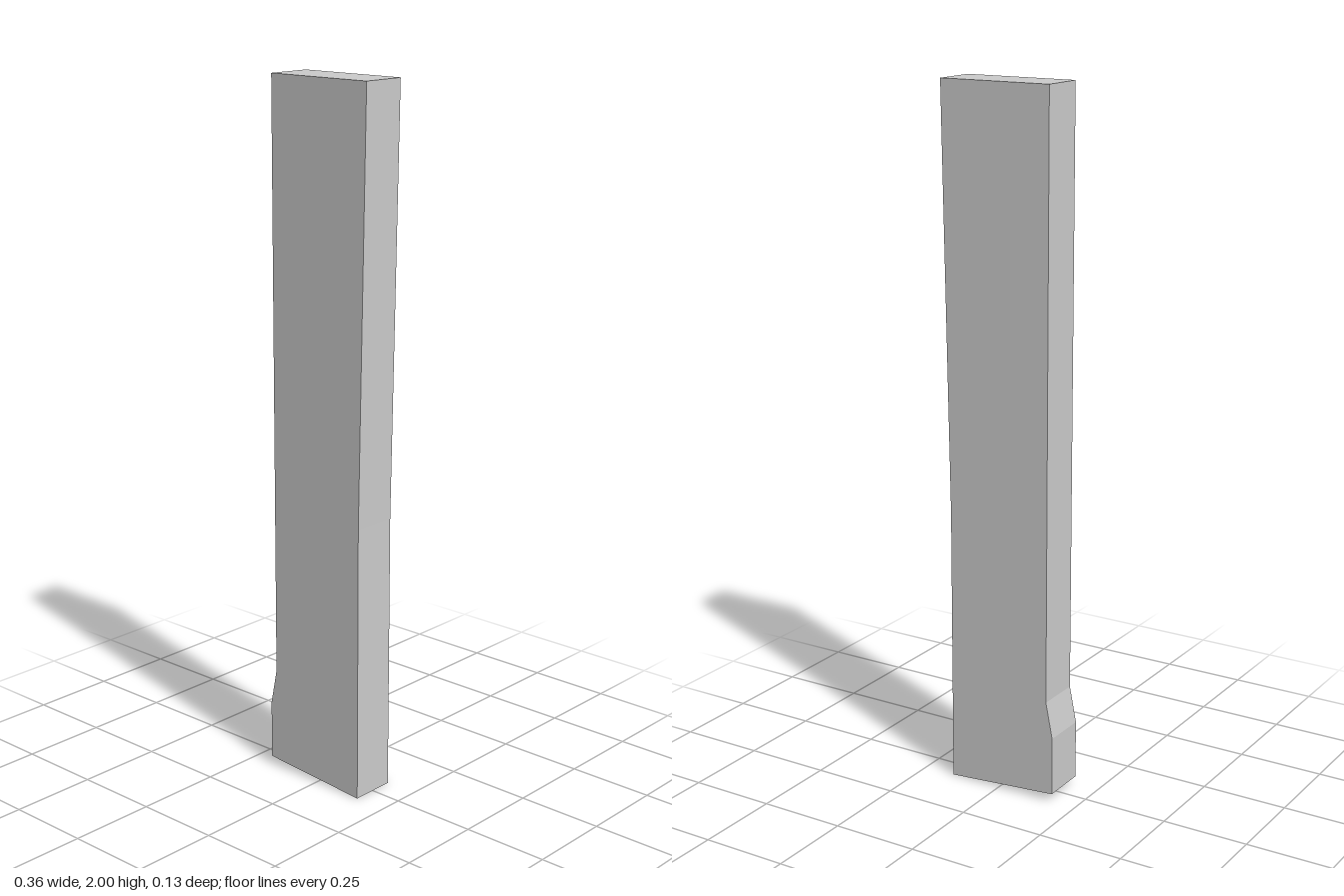
import * as THREE from 'three';

const DEPTH = 0.133;

export function createModel() {
  const group = new THREE.Group();
  group.name = 'plank';

  // Side outline: slanted foot, slight taper on one edge, stepped heel on the other
  const outline = [
    [-0.178, 0.025], [0.155, 0], [0.155, 0.8], [0.177, 2],
    [-0.157, 2], [-0.157, 0.3], [-0.178, 0.195],
  ].map(([x, y]) => new THREE.Vector2(x, y));

  const geometry = new THREE.ExtrudeGeometry(new THREE.Shape(outline), {
    depth: DEPTH,
    bevelEnabled: false,
  });
  geometry.translate(0, 0, -DEPTH / 2);

  const board = new THREE.Mesh(
    geometry,
    new THREE.MeshStandardMaterial({ color: 0xcccccc, flatShading: true }),
  );
  board.name = 'board';
  group.add(board);
  return group;
}
